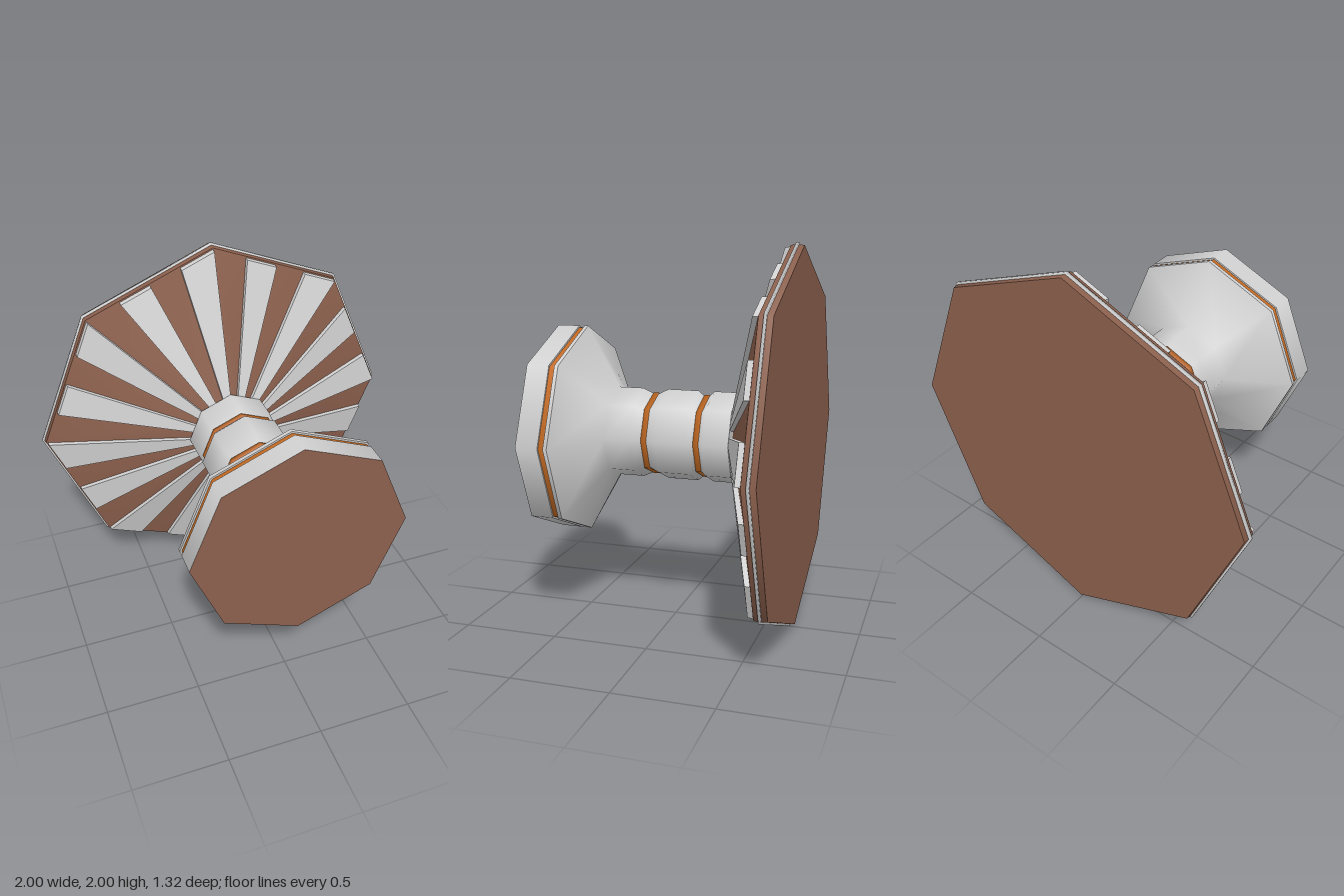
import * as THREE from 'three';

const SIDES = 8;
const AXIS_Y = 1;

export function createModel() {
  const model = new THREE.Group();
  model.name = 'flaredSpool';

  const gray = new THREE.MeshStandardMaterial({ name: 'paleGray', color: 0xd2d2d2 });
  const brown = new THREE.MeshStandardMaterial({ name: 'brown', color: 0x8c604d });
  const orange = new THREE.MeshStandardMaterial({ name: 'orange', color: 0xc46a22 });

  const body = new THREE.Group();
  body.name = 'body';
  body.position.y = AXIS_Y;
  model.add(body);

  const add = (name, geometry, material) => {
    const mesh = new THREE.Mesh(geometry, material);
    mesh.name = name;
    body.add(mesh);
    return mesh;
  };

  // Octagonal turned part: profile of [radius, z], listed from back to front
  const turned = (name, profile, material) => {
    const pts = profile.map(([r, z]) => new THREE.Vector2(r, z));
    return add(name, new THREE.LatheGeometry(pts, SIDES).rotateX(Math.PI / 2), material);
  };

  const cap = (name, radius, z, back) => {
    const geometry = new THREE.CircleGeometry(radius, SIDES);
    if (back) geometry.rotateY(Math.PI);
    add(name, geometry.translate(0, 0, z), brown);
  };

  // Front disc
  turned('frontDiscSide', [[0.56, 0.54], [0.56, 0.66]], gray);
  turned('frontDiscBack', [[0.5, 0.54], [0.56, 0.54]], gray);
  cap('frontDiscFace', 0.56, 0.66, false);
  turned('frontBand', [[0.55, 0.505], [0.55, 0.545]], orange);

  // Neck that flares towards the disc
  turned('neck', [
    [0.24, -0.345], [0.24, -0.21], [0.215, -0.185], [0.215, -0.155],
    [0.24, -0.125], [0.24, 0.04], [0.215, 0.09], [0.215, 0.125],
    [0.24, 0.18], [0.24, 0.315], [0.56, 0.49],
  ], gray);
  turned('flareRim', [[0.56, 0.49], [0.56, 0.51]], gray);
  turned('flareFront', [[0.56, 0.51], [0.5, 0.51]], gray);
  turned('neckBack', [[0.14, -0.345], [0.24, -0.345]], gray);

  // Orange rings in the two neck grooves
  for (const [name, z] of [['backRing', -0.17], ['frontRing', 0.108]]) {
    turned(name, [[0.19, z - 0.014], [0.219, z - 0.014], [0.219, z + 0.014], [0.19, z + 0.014]], orange);
  }

  // Large back plate with a sloping front
  turned('plateCone', [[0.985, -0.592], [0.15, -0.343]], brown);
  turned('plateSide', [[0.985, -0.66], [0.99, -0.62], [0.985, -0.592]], brown);
  turned('plateEdge', [[0.98, -0.632], [1, -0.632], [1, -0.618], [0.98, -0.618]], gray);
  cap('plateBack', 0.985, -0.66, true);

  // Sixteen raised slats, each filling half of a 22.5 degree step
  const step = Math.PI / 8;
  const point = (angle, radius, z) => {
    const sector = angle % (Math.PI / 4);
    const r = radius * Math.cos(step) / Math.cos(step - sector);
    return [r * Math.cos(angle), r * Math.sin(angle), z];
  };
  const faces = [
    [0, 1, 2, 3], [1, 5, 6, 2], [4, 0, 3, 7], [3, 2, 6, 7], [4, 5, 1, 0],
  ];
  for (let i = 0; i < 16; i++) {
    const a = i * step + 0.0005;
    const b = a + step / 2 - 0.001;
    const corners = [
      point(a, 0.2, -0.335), point(a, 0.975, -0.563), point(b, 0.975, -0.563), point(b, 0.2, -0.335),
      point(a, 0.2, -0.365), point(a, 0.978, -0.594), point(b, 0.978, -0.594), point(b, 0.2, -0.365),
    ];
    const positions = faces.flatMap(([p, q, r, s]) => [p, q, r, p, r, s].flatMap((k) => corners[k]));
    const geometry = new THREE.BufferGeometry();
    geometry.setAttribute('position', new THREE.Float32BufferAttribute(positions, 3));
    geometry.computeVertexNormals();
    add('slat' + (i + 1), geometry, gray);
  }

  return model;
}
